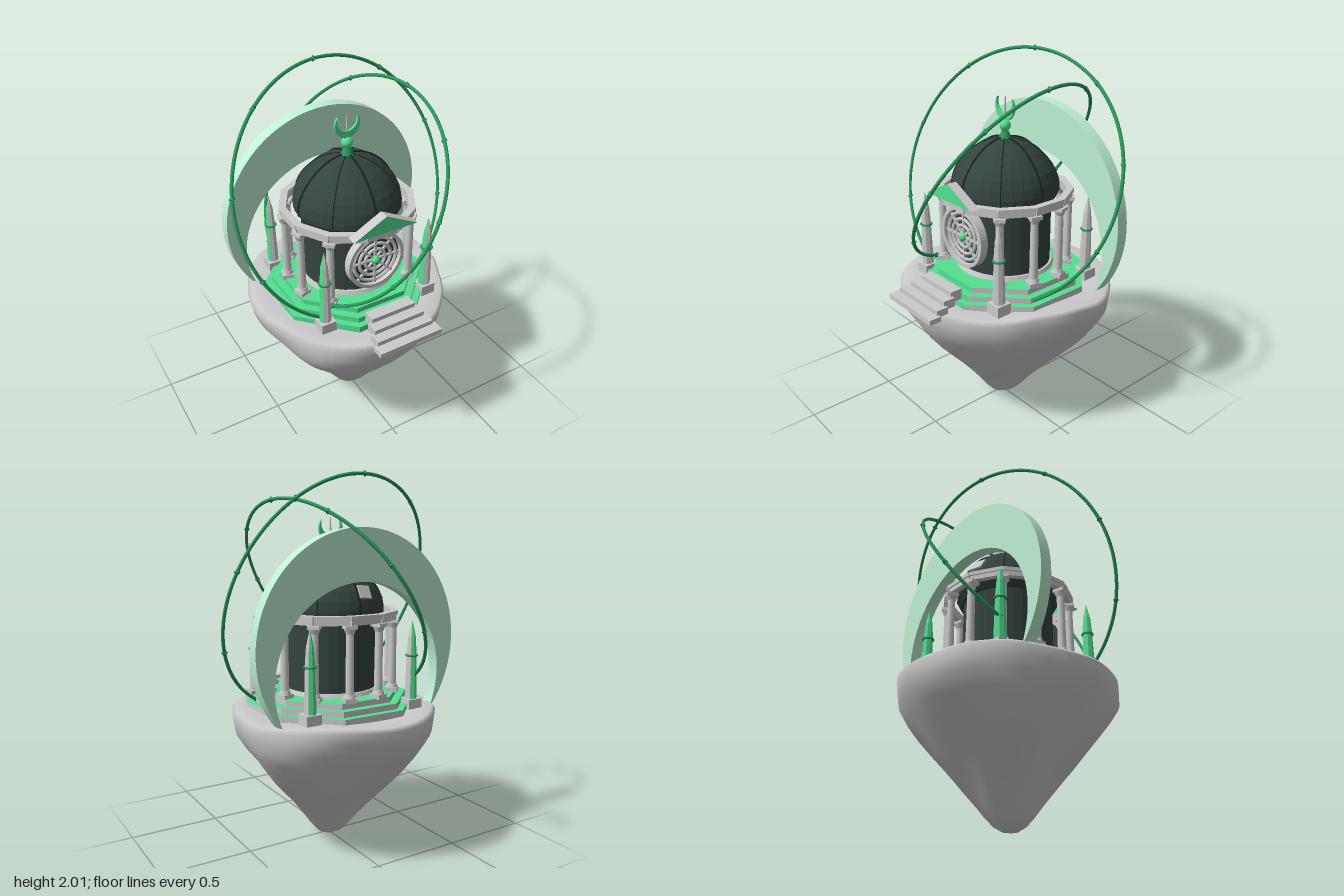
import * as THREE from 'three';
import { mergeVertices } from 'three/addons/utils/BufferGeometryUtils.js';

const mat = (color, opts = {}) => new THREE.MeshStandardMaterial({ color, ...opts });
const grey = mat(0xcccccc);
const greyFlat = mat(0xcccccc, { flatShading: true });
const green = mat(0x55e091);
const greenFlat = mat(0x55e091, { flatShading: true });
const darkGreen = mat(0x2a9a5b);
const slate = mat(0x34443f, { flatShading: true });
const slateDark = mat(0x1c2623);
const paleGreen = mat(0xbdf0d3);

function add(parent, name, geo, material, x = 0, y = 0, z = 0) {
  const m = new THREE.Mesh(geo, material);
  m.name = name;
  m.position.set(x, y, z);
  parent.add(m);
  return m;
}
const box = (w, h, d) => new THREE.BoxGeometry(w, h, d);
const cyl = (rt, rb, h, n = 16) => new THREE.CylinderGeometry(rt, rb, h, n);
const lathe = (pts, n) => new THREE.LatheGeometry(pts.map(p => new THREE.Vector2(p[0], p[1])), n);

// Prism with one half grey and the other green, and a green top
function twoTone(parent, name, rTop, rBottom, y0, y1, sides) {
  const h = y1 - y0, y = (y0 + y1) / 2;
  [greyFlat, greenFlat].forEach((m, i) => add(parent, name + 'Side',
    new THREE.CylinderGeometry(rTop, rBottom, h, sides / 2, 1, true, i * Math.PI, Math.PI), m, 0, y, 0));
  add(parent, name + 'Top', new THREE.CircleGeometry(rTop, sides), green, 0, y1, 0).rotation.x = -Math.PI / 2;
}

// Floating rock: a lathe pushed out to an uneven outline with soft ridges
function island() {
  const rim = [0.57, 0.56, 0.54, 0.53, 0.565, 0.61, 0.605, 0.605, 0.605, 0.605, 0.59, 0.575, 0.57, 0.56, 0.575, 0.57];
  const profile = [[0, 0], [0.07, 0.006], [0.14, 0.03], [0.21, 0.075], [0.28, 0.13], [0.37, 0.195], [0.46, 0.26], [0.565, 0.33],
    [0.68, 0.41], [0.79, 0.49], [0.89, 0.57], [0.965, 0.64], [0.985, 0.7], [1, 0.755], [0.97, 0.775], [0.85, 0.77], [0.5, 0.765], [0, 0.765]];
  let geo = lathe(profile, 64);
  const pos = geo.attributes.position;
  for (let i = 0; i < pos.count; i++) {
    const x = pos.getX(i), y = pos.getY(i), z = pos.getZ(i);
    const a = (Math.atan2(x, z) + 2 * Math.PI) % (2 * Math.PI);
    const t = a / (2 * Math.PI) * 16, k = Math.floor(t) % 16, f = t - Math.floor(t), s = f * f * (3 - 2 * f);
    const r = rim[k] * (1 - s) + rim[(k + 1) % 16] * s;
    const lump = Math.sin(Math.min(1, y / 0.76) * Math.PI);
    const w = r * (1 + lump * (0.02 * Math.sin(3 * a + 5 * y) + 0.02 * Math.sin(6 * a - 11 * y + 1) - 0.035 * Math.cos(4 * a)));
    const bump = y > 0.6 ? 0.009 * Math.sin(5 * a + 1) * Math.hypot(x, z) ** 3 : 0;
    pos.setXYZ(i, x * w, y + bump, z * w);
  }
  geo.deleteAttribute('uv');
  geo.deleteAttribute('normal');
  geo = mergeVertices(geo, 1e-4);
  geo.computeVertexNormals();
  return geo;
}

// Crescent between two circles, horns down, extruded along z
function crescent(R, cy, r, iy, depth) {
  const y = (R * R - r * r + iy * iy - cy * cy) / (2 * (iy - cy));
  const x = Math.sqrt(R * R - (y - cy) ** 2);
  const a = Math.atan2(y - cy, x), b = Math.atan2(y - iy, x);
  const s = new THREE.Shape();
  s.absarc(0, cy, R, a, Math.PI - a, false);
  s.absarc(0, iy, r, Math.PI - b, b, true);
  return new THREE.ExtrudeGeometry(s, { depth, bevelEnabled: false, curveSegments: 48 });
}

// Open ring in a tilted plane, running over the top between two end points
class ArcCurve extends THREE.Curve {
  constructor(centre, normal, radius, endA, endB) {
    super();
    const n = normal.clone().normalize();
    this.c = centre;
    this.r = radius;
    this.t = new THREE.Vector3(0, 1, 0).addScaledVector(n, -n.y).normalize();
    this.s = n.clone().cross(this.t);
    [this.a, this.b] = [endA, endB].map(e => {
      const d = e.clone().sub(centre);
      return Math.atan2(d.dot(this.s), d.dot(this.t));
    });
  }
  getPoint(u, out = new THREE.Vector3()) {
    const p = this.a + (this.b - this.a) * u;
    return out.copy(this.c).addScaledVector(this.t, this.r * Math.cos(p)).addScaledVector(this.s, this.r * Math.sin(p));
  }
}

function orbitRing(parent, name, normal, radius, endA, endB) {
  const g = new THREE.Group();
  g.name = name;
  const curve = new ArcCurve(new THREE.Vector3(0, 1.355, -0.02), normal, radius, endA, endB);
  add(g, 'ringTube', new THREE.TubeGeometry(curve, 120, 0.009, 8), darkGreen);
  for (let i = 0; i <= 8; i++) {
    const p = curve.getPoint(i / 8);
    add(g, 'ringBead', new THREE.OctahedronGeometry(0.018, 0), darkGreen, p.x, p.y, p.z);
  }
  parent.add(g);
}

export function createModel() {
  const model = new THREE.Group();
  model.name = 'floatingPavilion';
  add(model, 'island', island(), grey);

  // Everything centred on the dome axis
  const hall = new THREE.Group();
  hall.name = 'hall';
  hall.position.z = -0.018;
  model.add(hall);

  // Octagonal stepped platform
  const platform = new THREE.Group();
  platform.name = 'platform';
  platform.rotation.y = Math.PI / 8;
  [[0.43, 0.73, 0.8], [0.395, 0.8, 0.83], [0.355, 0.83, 0.86]].forEach(([half, y0, y1]) => {
    const R = half / Math.cos(Math.PI / 8);
    twoTone(platform, 'platformStep', R, R, y0, y1, 8);
  });
  hall.add(platform);

  // Front stairs
  for (let i = 0; i < 4; i++)
    add(model, 'stair', box(0.375 - i * 0.037, 0.028 + i * 0.01, 0.068), grey, 0, 0.777 + i * 0.02, 0.594 - i * 0.057);

  // Drum and its mouldings
  add(hall, 'drum', cyl(0.25, 0.25, 0.42, 32), slate, 0, 1.06, 0);
  add(hall, 'drumBase', cyl(0.262, 0.27, 0.02, 32), grey, 0, 0.87, 0);
  add(hall, 'drumCornice', cyl(0.288, 0.265, 0.04, 32), slate, 0, 1.26, 0);

  // Dome with four strong and four faint ribs
  const dome = [[0.288, 1.28], [0.289, 1.31], [0.28, 1.36], [0.258, 1.41], [0.225, 1.455], [0.18, 1.5], [0.125, 1.537], [0.06, 1.56], [0, 1.567]];
  add(hall, 'dome', lathe(dome, 32), slate);
  const ribCurve = new THREE.CatmullRomCurve3(dome.map(p => new THREE.Vector3(p[0], p[1], 0)));
  for (let i = 0; i < 8; i++)
    add(hall, 'domeRib', new THREE.TubeGeometry(ribCurve, 24, i % 2 ? 0.003 : 0.006, 5), slateDark).rotation.y = i * Math.PI / 4;
  add(hall, 'domeBlock', box(0.08, 0.07, 0.05), grey, -0.04, 1.395, -0.24).rotation.set(0.5, 0.2, 0);

  // Finial with upturned crescent
  add(hall, 'finialCollar', cyl(0.018, 0.035, 0.04), darkGreen, 0, 1.58, 0);
  add(hall, 'finialBall', new THREE.SphereGeometry(0.03, 16, 12), green, 0, 1.628, 0);
  add(hall, 'finialSpike', cyl(0.003, 0.008, 0.14, 8), grey, 0, 1.71, 0);
  add(hall, 'finialCrescent', crescent(0.072, 0, 0.06, -0.024, 0.014), green, 0, 1.725, 0.007).rotation.x = Math.PI;

  // Twelve-sided colonnade, open at the front
  for (let i = 0; i < 12; i++) {
    const a = (i + 0.5) * Math.PI / 6;
    if (i !== 0 && i !== 11) {
      const c = new THREE.Group();
      c.name = 'column';
      c.position.set(0.342 * Math.sin(a), 0, 0.342 * Math.cos(a));
      c.rotation.y = a;
      add(c, 'columnPlinth', box(0.064, 0.025, 0.064), grey, 0, 0.868, 0);
      add(c, 'columnBase', cyl(0.026, 0.032, 0.02), grey, 0, 0.89, 0);
      add(c, 'columnShaft', cyl(0.02, 0.023, 0.34, 12), grey, 0, 1.06, 0);
      add(c, 'columnCapital', cyl(0.032, 0.022, 0.025), grey, 0, 1.22, 0);
      add(c, 'columnAbacus', box(0.062, 0.018, 0.062), grey, 0, 1.241, 0);
      hall.add(c);
    }
    const beam = new THREE.Group();
    beam.name = 'beam';
    beam.rotation.y = i * Math.PI / 6;
    add(beam, 'beamLower', box(0.18, 0.026, 0.03), grey, 0, 1.262, 0.335);
    add(beam, 'beamUpper', box(0.188, 0.022, 0.038), grey, 0, 1.286, 0.338);
    hall.add(beam);
  }

  // Pediment
  const tri = new THREE.Shape([[-0.185, 0], [0.185, 0], [0, 0.095]].map(p => new THREE.Vector2(...p)));
  add(model, 'pediment', new THREE.ExtrudeGeometry(tri, { depth: 0.055, bevelEnabled: false }), [green, grey], 0, 1.297, 0.306);

  // Round window: rim, rings, spokes and boss
  const rose = new THREE.Group();
  rose.name = 'roundWindow';
  rose.position.set(0, 1.08, 0.245);
  const rim = new THREE.Shape().absarc(0, 0, 0.167, 0, Math.PI * 2);
  rim.holes.push(new THREE.Path().absarc(0, 0, 0.148, 0, Math.PI * 2, true));
  add(rose, 'windowRim', new THREE.ExtrudeGeometry(rim, { depth: 0.045, bevelEnabled: false, curveSegments: 32 }), grey, 0, 0, -0.005);
  add(rose, 'windowPane', cyl(0.15, 0.15, 0.02, 40), slate, 0, 0, 0.005).rotation.x = Math.PI / 2;
  [0.128, 0.095, 0.06].forEach(r => add(rose, 'windowRing', new THREE.TorusGeometry(r, 0.01, 6, 40), grey, 0, 0, 0.02));
  for (let i = 0; i < 4; i++)
    add(rose, 'windowSpoke', box(0.29, 0.012, 0.014), grey, 0, 0, 0.02).rotation.z = i * Math.PI / 4;
  add(rose, 'windowBoss', new THREE.SphereGeometry(0.024, 16, 12), green, 0, 0, 0.025);
  model.add(rose);

  // Four corner spires, grey towards the front left and green behind
  for (const x of [-0.313, 0.313]) for (const z of [0.29, -0.337]) {
    add(model, 'spirePlinth', box(0.085, 0.06, 0.085), grey, x, 0.795, z);
    const spire = new THREE.Group();
    spire.name = 'spire';
    spire.position.set(x, 0, z);
    spire.rotation.y = -Math.PI / 4;
    twoTone(spire, 'spireShaft', 0.026, 0.033, 0.825, 1.06, 8);
    twoTone(spire, 'spireNeck', 0.02, 0.027, 1.06, 1.16, 8);
    twoTone(spire, 'spireTip', 0.001, 0.02, 1.16, 1.245, 8);
    add(spire, 'spireRing', new THREE.TorusGeometry(0.029, 0.006, 6, 16), darkGreen, 0, 1.06, 0).rotation.x = Math.PI / 2;
    model.add(spire);
  }

  // Great crescent behind the dome
  add(model, 'greatCrescent', crescent(0.597, 1.133, 0.5, 0.96, 0.067), paleGreen, 0, 0, -0.325);

  // Two tilted open rings
  const v = (x, y, z) => new THREE.Vector3(x, y, z);
  orbitRing(model, 'wideRing', v(0.09, 0.174, 0.433), 0.683, v(-0.3, 0.82, 0.28), v(0.39, 0.81, 0.125));
  orbitRing(model, 'steepRing', v(-0.309, 0.203, 0.056), 0.613, v(-0.25, 0.87, 0.27), v(-0.32, 0.96, -0.34));
  return model;
}
